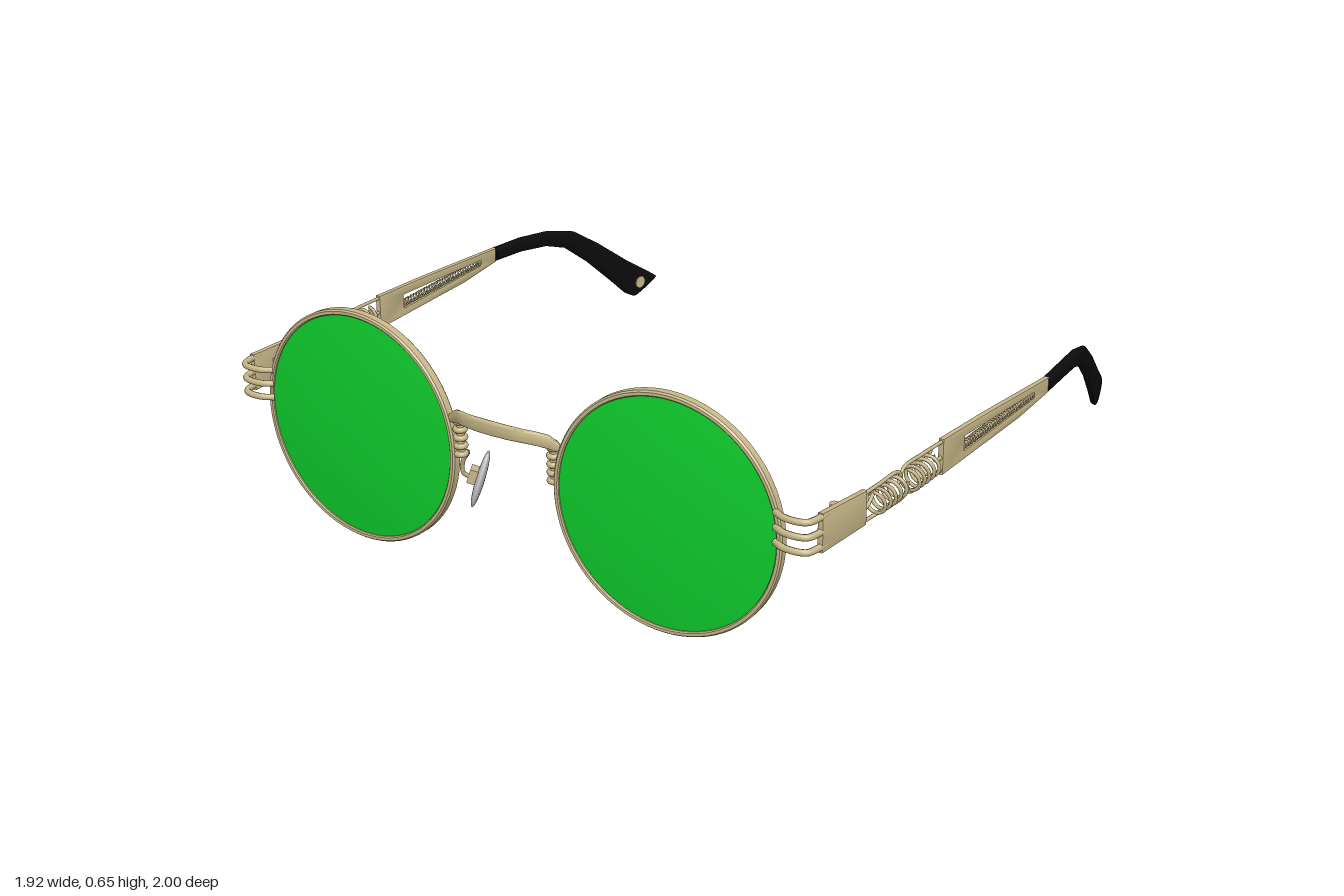
import * as THREE from 'three';
import { toCreasedNormals } from 'three/addons/utils/BufferGeometryUtils.js';

const V = (x, y, z) => new THREE.Vector3(x, y, z);

// Sweep of rounded-box sections {c, a, b}: centre and two half-axes, a x b pointing along the sweep
function loft(sections, n = 20, power = 0.5) {
  const pos = [], idx = [];
  const bulge = (t) => Math.sign(t) * Math.pow(Math.abs(t), power);
  for (const { c, a, b } of sections) {
    for (let j = 0; j < n; j++) {
      const t = (j / n) * Math.PI * 2;
      const p = c.clone().addScaledVector(a, bulge(Math.cos(t))).addScaledVector(b, bulge(Math.sin(t)));
      pos.push(p.x, p.y, p.z);
    }
  }
  const last = (sections.length - 1) * n;
  for (let i = 0; i < last; i += n) {
    for (let j = 0; j < n; j++) {
      const k = (j + 1) % n;
      idx.push(i + j, i + k, i + n + j, i + k, i + n + k, i + n + j);
    }
  }
  for (let j = 1; j < n - 1; j++) idx.push(0, j + 1, j, last, last + j, last + j + 1);
  const g = new THREE.BufferGeometry();
  g.setAttribute('position', new THREE.Float32BufferAttribute(pos, 3));
  g.setIndex(idx);
  return toCreasedNormals(g, 0.7);
}

// Reflected copy across x = 0 with its winding restored
function mirrored(geo) {
  const g = geo.clone().scale(-1, 1, 1);
  const count = g.index ? g.index.count : g.attributes.position.count;
  const idx = [];
  for (let i = 0; i < count; i += 3) {
    for (const k of [i, i + 2, i + 1]) idx.push(g.index ? g.index.getX(k) : k);
  }
  g.setIndex(idx);
  return g;
}

const tube = (pts, r, seg = 24) =>
  new THREE.TubeGeometry(new THREE.CatmullRomCurve3(pts, false, 'centripetal'), seg, r, 8);

// Sideways position of the temple arm and of its tip at depth z
const armX = (z) => (z > 0.7 ? 0.905 - (z - 0.7) * 0.08 : 0.905 + (0.7 - z) * 0.041);
const tipX = (z) => 0.945 - 0.13 * Math.pow(Math.max(0, (-0.27 - z) / 0.73), 1.5);

class Helix extends THREE.Curve {
  constructor(z0, z1, y, r, turns) {
    super();
    Object.assign(this, { z0, z1, y, r, turns });
  }
  getPoint(t, out = new THREE.Vector3()) {
    const z = this.z0 + (this.z1 - this.z0) * t, a = t * this.turns * Math.PI * 2;
    return out.set(armX(z) + this.r * Math.sin(a), this.y + this.r * Math.cos(a), z);
  }
}

// Flat plate outlined in (z, y), following the arm
function armPlate(outline, hole, thick) {
  const toPts = (list) => list.map(([z, y]) => new THREE.Vector2(-z, y));
  const shape = new THREE.Shape(toPts(outline));
  if (hole) shape.holes.push(new THREE.Path(toPts(hole)));
  const g = new THREE.ExtrudeGeometry(shape, {
    depth: thick - 0.006, bevelEnabled: true, bevelSize: 0.003, bevelThickness: 0.003, bevelSegments: 2,
  });
  g.translate(0, 0, -(thick - 0.006) / 2).rotateY(Math.PI / 2);
  const p = g.attributes.position;
  for (let i = 0; i < p.count; i++) p.setX(i, p.getX(i) + armX(p.getZ(i)));
  return toCreasedNormals(g, 0.6);
}

export function createModel() {
  const mat = (name, color, side = THREE.FrontSide) => {
    const m = new THREE.MeshStandardMaterial({ color, side });
    m.name = name;
    return m;
  };
  const metal = mat('pale gold metal', 0xc8b88a);
  const green = mat('green lens', 0x0fd02d, THREE.DoubleSide);
  const black = mat('black tip', 0x0c0c0c);
  const grey = mat('grey nose pad', 0xcfcfd3);

  const model = new THREE.Group();
  model.name = 'glasses';
  const add = (name, geo, m) => {
    const mesh = new THREE.Mesh(geo, m);
    mesh.name = name;
    model.add(mesh);
  };
  const pair = (name, geo, m) => {
    add('left' + name, geo, m);
    add('right' + name, mirrored(geo), m);
  };

  // Rims and domed lenses, leaning back slightly
  const seat = (g) => g.rotateX(Math.PI / 2 - 0.02).rotateY(0.036).translate(0.48, 0.328, 0.925);
  const rim = [[0.31, -0.015], [0.321, -0.015], [0.325, -0.01], [0.325, 0.01], [0.321, 0.015],
    [0.313, 0.015], [0.31, 0.012], [0.31, -0.015]].map(([r, y]) => new THREE.Vector2(r, y));
  pair('Rim', seat(toCreasedNormals(new THREE.LatheGeometry(rim, 80), 0.6)), metal);
  const dome = [];
  for (let i = 0; i <= 10; i++) {
    const r = 0.313 * (1 - i / 10);
    dome.push(new THREE.Vector2(r, 0.008 + 0.016 * (1 - (r / 0.313) ** 2)));
  }
  pair('Lens', seat(new THREE.LatheGeometry(dome, 80)), green);

  // Arched bridge: x, z, top y, bottom y
  const half = [[0, 0.993, 0.486, 0.447], [0.05, 0.991, 0.485, 0.447], [0.09, 0.982, 0.481, 0.445],
    [0.12, 0.965, 0.474, 0.438], [0.145, 0.947, 0.464, 0.428], [0.168, 0.936, 0.445, 0.42]];
  const span = [...half.slice(1).reverse().map(([x, ...r]) => [-x, ...r]), ...half];
  add('bridge', loft(span.map(([x, z, top, low]) => ({
    c: V(x, (top + low) / 2, z),
    a: V(0, (top - low) / 2, 0),
    b: V(x * 0.035, 0, 0.007),
  }))), metal);

  // Wrapped posts below the bridge
  pair('BridgePost', new THREE.CylinderGeometry(0.011, 0.011, 0.115, 12).translate(0.147, 0.385, 0.931), metal);
  for (let i = 0; i < 5; i++) {
    const ring = new THREE.TorusGeometry(0.012, 0.008, 8, 20).rotateX(Math.PI / 2);
    pair('PostRing' + (i + 1), ring.translate(0.147, 0.335 + i * 0.023, 0.931), metal);
  }

  // Nose pads on bent wire arms
  pair('PadArm', tube([V(0.147, 0.335, 0.925), V(0.15, 0.325, 0.9), V(0.172, 0.29, 0.895),
    V(0.178, 0.25, 0.885), V(0.162, 0.232, 0.862)], 0.006), metal);
  pair('PadMount', new THREE.BoxGeometry(0.024, 0.04, 0.034).rotateZ(0.3).rotateY(-0.5)
    .translate(0.166, 0.238, 0.86), metal);
  pair('NosePad', new THREE.SphereGeometry(1, 28, 18).scale(0.012, 0.085, 0.04).rotateZ(0.3)
    .rotateY(-0.5).translate(0.152, 0.225, 0.85), grey);

  // Three wires turning the corner from rim to arm
  [0.417, 0.377, 0.337].forEach((y, i) => pair('CornerWire' + (i + 1), tube([
    V(0.785, y, 0.925), V(0.815, y, 0.94), V(0.855, y, 0.942), V(0.878, y, 0.933),
    V(0.888, y, 0.905), V(armX(0.86), y, 0.86)], 0.009), metal));

  // Front arm plate with its hinge
  pair('FrontPlate', armPlate([[0.89, 0.325], [0.705, 0.322], [0.705, 0.41], [0.89, 0.425]], null, 0.016), metal);
  pair('HingeBlock', new THREE.BoxGeometry(0.03, 0.03, 0.05).translate(0.884, 0.372, 0.79), metal);
  pair('HingePin', new THREE.CylinderGeometry(0.012, 0.012, 0.06, 14).translate(0.867, 0.372, 0.785), metal);

  // Spring section: two coils, each held by a hooked wire
  const arm = (y, z) => V(armX(z), y, z);
  pair('FrontCoil', new THREE.TubeGeometry(new Helix(0.66, 0.53, 0.358, 0.03, 5), 130, 0.005, 6), metal);
  pair('RearCoil', new THREE.TubeGeometry(new Helix(0.49, 0.365, 0.35, 0.03, 5), 130, 0.005, 6), metal);
  const wires = {
    UpperFrontWire: [[0.402, 0.72], [0.4, 0.64], [0.398, 0.55], [0.388, 0.532], [0.36, 0.53]],
    CentreFrontWire: [[0.365, 0.72], [0.362, 0.69], [0.385, 0.66]],
    LowerFrontWire: [[0.328, 0.72], [0.322, 0.64], [0.315, 0.51], [0.325, 0.494], [0.35, 0.49]],
    UpperRearWire: [[0.36, 0.54], [0.385, 0.525], [0.397, 0.51], [0.396, 0.42], [0.39, 0.3]],
    LowerRearWire: [[0.35, 0.495], [0.318, 0.485], [0.311, 0.46], [0.311, 0.4], [0.31, 0.3]],
    CentreRearWire: [[0.375, 0.365], [0.35, 0.35], [0.348, 0.3]],
  };
  for (const [name, pts] of Object.entries(wires)) {
    pair(name, tube(pts.map(([y, z]) => arm(y, z)), 0.005), metal);
  }

  // Slotted rear plate with a fine spring inside
  pair('RearPlate', armPlate(
    [[0.32, 0.302], [-0.1, 0.302], [-0.27, 0.314], [-0.27, 0.353], [0.1, 0.383], [0.32, 0.397]],
    [[0.21, 0.32], [0.21, 0.368], [-0.19, 0.345], [-0.19, 0.322]], 0.016), metal);
  pair('FineSpring', new THREE.TubeGeometry(new Helix(0.212, -0.192, 0.336, 0.009, 30), 360, 0.003, 5), metal);

  // Curved tips: top z, top y, bottom z, bottom y, half width
  const tip = [[-0.27, 0.356, -0.27, 0.313, 0.014], [-0.4, 0.352, -0.395, 0.307, 0.014],
    [-0.53, 0.338, -0.51, 0.292, 0.014], [-0.64, 0.306, -0.6, 0.26, 0.014],
    [-0.745, 0.236, -0.7, 0.182, 0.014], [-0.865, 0.145, -0.8, 0.088, 0.014],
    [-0.96, 0.08, -0.865, 0.024, 0.014], [-0.998, 0.052, -0.9, 0.004, 0.01]];
  pair('Tip', loft(tip.map(([zt, yt, zb, yb, w]) => {
    const top = V(tipX(zt), yt, zt), low = V(tipX(zb), yb, zb);
    return { c: top.clone().add(low).multiplyScalar(0.5), a: top.clone().sub(low).multiplyScalar(0.5), b: V(w, 0, 0) };
  }), 24, 0.7), black);
  pair('TipInlay', new THREE.CylinderGeometry(0.02, 0.02, 0.009, 24).rotateZ(Math.PI / 2).rotateY(0.25)
    .translate(tipX(-0.915) - 0.013, 0.053, -0.915), metal);

  return model;
}
